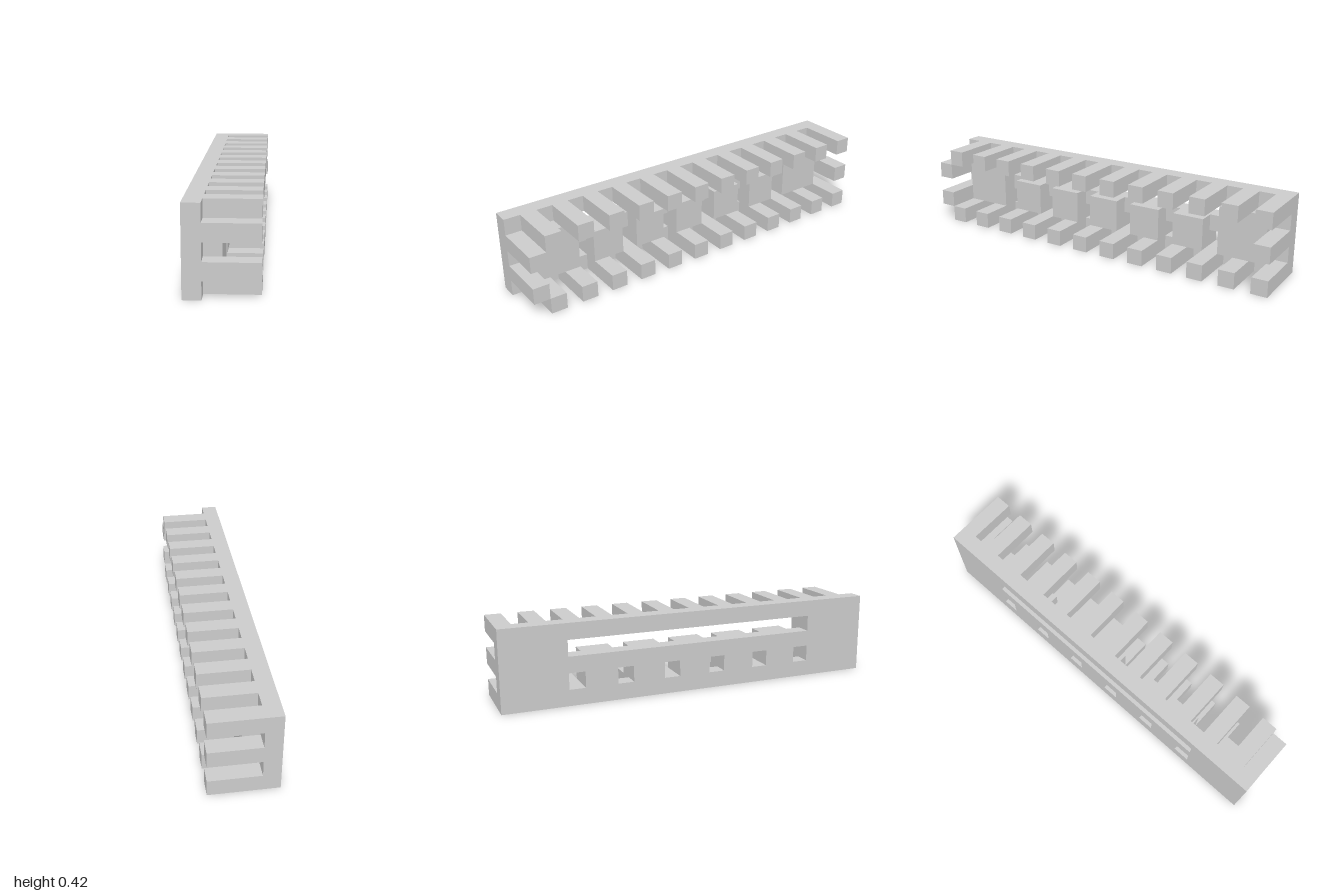
import * as THREE from 'three';

const U = 1 / 12; // grid unit: the part is 4 x 5 x 24 units

export function createModel() {
  const group = new THREE.Group();
  const material = new THREE.MeshStandardMaterial({ color: 0xcccccc, flatShading: true });

  // Box given by its limits in grid units
  function box(name, x0, x1, y0, y1, z0, z1) {
    const geo = new THREE.BoxGeometry((x1 - x0) * U, (y1 - y0) * U, (z1 - z0) * U);
    const mesh = new THREE.Mesh(geo, material);
    mesh.position.set((x0 + x1) / 2 * U, (y0 + y1) / 2 * U, (z0 + z1) / 2 * U);
    mesh.name = name;
    group.add(mesh);
  }

  // Rectangle in the z-y plane, used for the plate outline and its holes
  function rect(target, z0, z1, y0, y1) {
    target.moveTo(z0 * U, y0 * U);
    target.lineTo(z1 * U, y0 * U);
    target.lineTo(z1 * U, y1 * U);
    target.lineTo(z0 * U, y1 * U);
    target.closePath();
    return target;
  }

  // Side plate with a long slot and a row of six square windows
  const windows = [-8, -5, -2, 1, 4, 7];
  const shape = rect(new THREE.Shape(), -12, 12, 0, 5);
  shape.holes.push(rect(new THREE.Path(), -8, 8, 3, 4));
  for (const z of windows) shape.holes.push(rect(new THREE.Path(), z, z + 1, 1, 2));
  const plateGeo = new THREE.ExtrudeGeometry(shape, { depth: U, bevelEnabled: false });
  plateGeo.rotateY(-Math.PI / 2).translate(-U, 0, 0);
  const plate = new THREE.Mesh(plateGeo, material);
  plate.name = 'sidePlate';
  group.add(plate);

  // Finger joints along the top and bottom edges
  for (let z = -12; z < 12; z += 2) {
    box('topFinger', -1, 2, 4, 5, z, z + 1);
    box('bottomFinger', -1, 2, 0, 1, z, z + 1);
  }

  // Finger joints on the two ends
  box('backFinger', -1, 2, 2, 3, -12, -11);
  for (const y of [1, 3]) box('frontFinger', -1, 2, y, y + 1, 11, 12);

  // Inner blocks: one between each pair of windows, taller ones at the ends
  for (const z of windows.slice(0, -1)) box('innerBlock', -1, 0, 1, 3, z + 1, z + 3);
  box('backEndBlock', -1, 0, 1, 4, -11, -8);
  box('frontEndBlock', -1, 0, 1, 4, 8, 11);

  return group;
}
